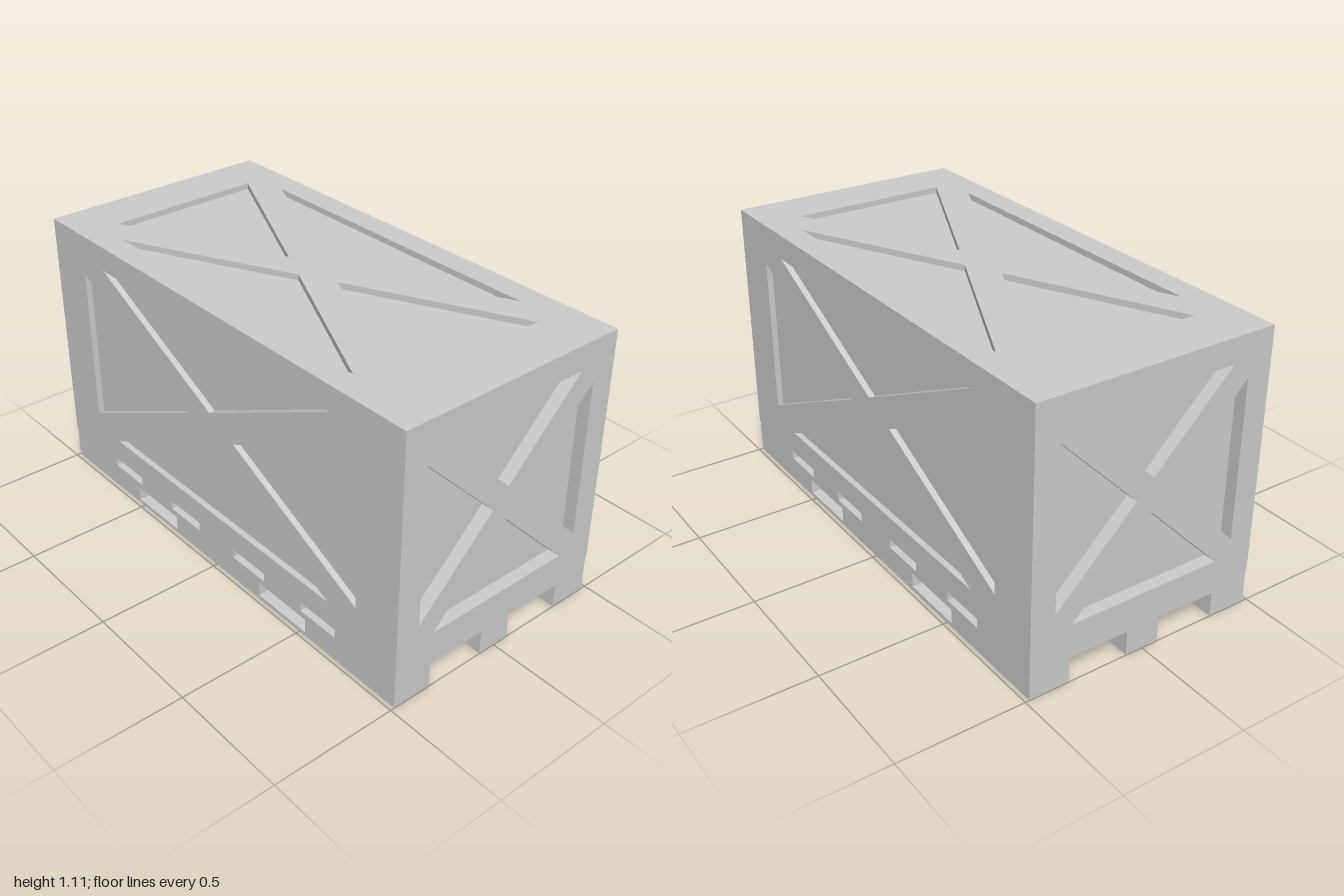
import * as THREE from 'three';

const material = new THREE.MeshStandardMaterial({ color: 0xcccccc, flatShading: true });

function addMesh(parent, name, geometry) {
  const mesh = new THREE.Mesh(geometry, material);
  mesh.name = name;
  parent.add(mesh);
  return mesh;
}

const polygon = (Type, pts) => new Type(pts.map(([x, y]) => new THREE.Vector2(x, y)));
const rect = (x0, x1, y0, y1) => [[x0, y0], [x1, y0], [x1, y1], [x0, y1]];

// One cross-braced side of a cube of half size 1, with mitred outer edges
function braceFrame(depth) {
  const shape = polygon(THREE.Shape, rect(-1, 1, -1, 1));
  for (let i = 0; i < 4; i++) {
    const c = Math.round(Math.cos(i * Math.PI / 2));
    const s = Math.round(Math.sin(i * Math.PI / 2));
    const triangle = [[0, 0.137], [0.656, 0.797], [-0.656, 0.797]];
    shape.holes.push(polygon(THREE.Path, triangle.map(([x, y]) => [x * c - y * s, x * s + y * c])));
  }
  const geo = new THREE.ExtrudeGeometry(shape, { depth, bevelEnabled: false });
  geo.translate(0, 0, 1 - depth);
  const p = geo.attributes.position;
  for (let i = 0; i < p.count; i++) {
    const outer = Math.max(Math.abs(p.getX(i)), Math.abs(p.getY(i))) > 0.999;
    if (outer && p.getZ(i) < 0.999) {
      p.setXY(i, p.getX(i) * (1 - depth), p.getY(i) * (1 - depth));
    }
  }
  geo.computeVertexNormals();
  return geo;
}

function createCrate() {
  const crate = new THREE.Group();
  crate.name = 'crate';
  const half = [0.485, 0.485, 1];
  const depth = 0.05;
  const inner = 2 * (1 - depth);

  // Recessed panels
  addMesh(crate, 'recessedPanels', new THREE.BoxGeometry(inner, inner, inner).scale(...half));

  // Braced frames on all six sides
  const sides = {
    frontFrame: [0, 0],
    leftFrame: [0, Math.PI / 2],
    backFrame: [0, Math.PI],
    rightFrame: [0, -Math.PI / 2],
    topFrame: [-Math.PI / 2, 0],
    bottomFrame: [Math.PI / 2, 0],
  };
  for (const [name, [rx, ry]] of Object.entries(sides)) {
    addMesh(crate, name, braceFrame(depth).rotateX(rx).rotateY(ry).scale(...half));
  }
  crate.position.y = 0.625;
  return crate;
}

function createPallet() {
  const pallet = new THREE.Group();
  pallet.name = 'pallet';
  const halfWidth = 0.483, halfLength = 0.998, skidTop = 0.1, deckTop = 0.14;

  // Skids with two slots through each
  const profile = polygon(THREE.Shape, rect(-halfLength, halfLength, 0, skidTop));
  for (const [a, b] of [[-0.53, -0.265], [0.265, 0.53]]) {
    profile.holes.push(polygon(THREE.Path, rect(a, b, 0.015, 0.075)));
  }
  const skids = { rightSkid: [-halfWidth, -0.32], middleSkid: [-0.07, 0.07], leftSkid: [0.32, halfWidth] };
  for (const [name, [x0, x1]] of Object.entries(skids)) {
    const geo = new THREE.ExtrudeGeometry(profile, { depth: x1 - x0, bevelEnabled: false });
    addMesh(pallet, name, geo.rotateY(-Math.PI / 2).translate(x1, 0, 0));
  }

  // Deck boards
  const boards = [[-halfLength, -0.692], [-0.505, -0.295], [-0.107, 0.107], [0.295, 0.505], [0.692, halfLength]];
  for (const [z0, z1] of boards) {
    const board = addMesh(pallet, 'deckBoard', new THREE.BoxGeometry(2 * halfWidth, deckTop - skidTop, z1 - z0));
    board.position.set(0, (skidTop + deckTop) / 2, (z0 + z1) / 2);
  }
  return pallet;
}

export function createModel() {
  const model = new THREE.Group();
  model.name = 'crateOnPallet';
  model.add(createCrate(), createPallet());
  return model;
}
